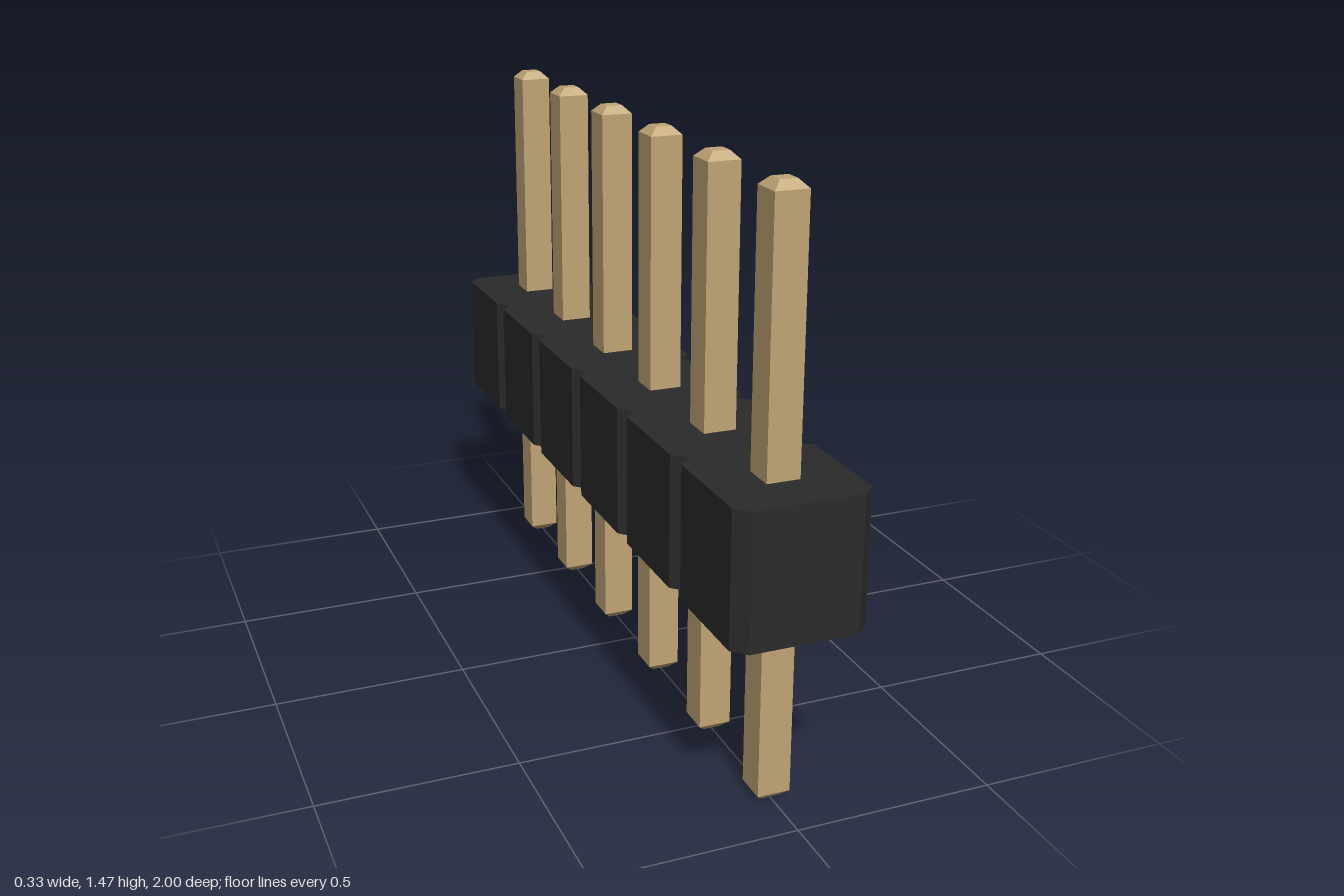
import * as THREE from 'three';

const COUNT = 6, PITCH = 1 / 3;
const HALF = PITCH / 2;          // half width of one housing block
const CHAMFER = 0.033;
const BODY_BOTTOM = 0.47, BODY_HEIGHT = 0.333;
const PIN_HEIGHT = 1.465, PIN_HALF = 0.041, TIP_HALF = 0.021, TIP = 0.02;

export function createModel() {
  const group = new THREE.Group();
  const plastic = new THREE.MeshStandardMaterial({ color: 0x2a2a2a, flatShading: true });
  const brass = new THREE.MeshStandardMaterial({ color: 0xc0a575, flatShading: true });

  // Housing: a row of chamfered blocks drawn as one outline, then extruded upward
  const side = [];
  for (let i = 0; i < COUNT; i++) {
    const z0 = -1 + i * PITCH, z1 = z0 + PITCH;
    side.push([HALF - CHAMFER, z0], [HALF, z0 + CHAMFER], [HALF, z1 - CHAMFER]);
  }
  side.push([HALF - CHAMFER, 1]);
  const outline = [...side, ...side.map(([x, z]) => [-x, -z])];
  const shape = new THREE.Shape(outline.map(([x, z]) => new THREE.Vector2(x, z)));
  const bodyGeometry = new THREE.ExtrudeGeometry(shape, { depth: BODY_HEIGHT, bevelEnabled: false });
  bodyGeometry.rotateX(-Math.PI / 2);
  const housing = new THREE.Mesh(bodyGeometry, plastic);
  housing.name = 'housing';
  housing.position.y = BODY_BOTTOM;
  group.add(housing);

  // Pins: square posts with tapered tips, as a four-sided lathe
  const profile = [
    [0, 0], [TIP_HALF, 0], [PIN_HALF, TIP],
    [PIN_HALF, PIN_HEIGHT - TIP], [TIP_HALF, PIN_HEIGHT], [0, PIN_HEIGHT],
  ].map(([r, y]) => new THREE.Vector2(r * Math.SQRT2, y));
  const pinGeometry = new THREE.LatheGeometry(profile, 4, Math.PI / 4);
  for (let i = 0; i < COUNT; i++) {
    const pin = new THREE.Mesh(pinGeometry, brass);
    pin.name = `pin${i + 1}`;
    pin.position.z = (i - (COUNT - 1) / 2) * PITCH;
    group.add(pin);
  }
  return group;
}
